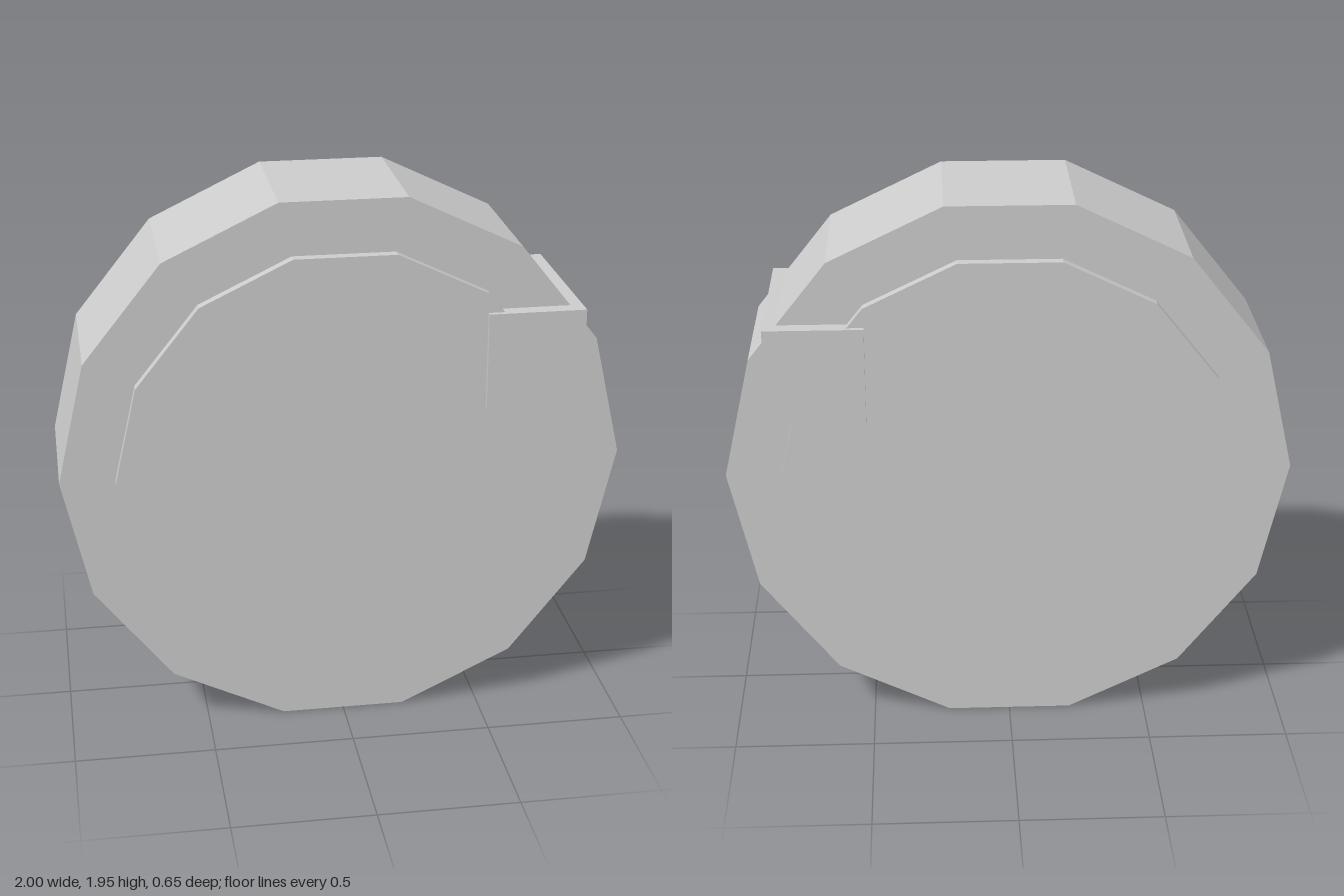
import * as THREE from 'three';

const SIDES = 14;
const CENTRE_Y = Math.sin((6 * Math.PI) / SIDES); // flat edge rests on the ground

export function createModel() {
  const model = new THREE.Group();
  model.name = 'wheel';
  const grey = new THREE.MeshStandardMaterial({ color: 0xcccccc, flatShading: true });
  grey.name = 'plain grey';

  const add = (name, geometry, x, y, z) => {
    const mesh = new THREE.Mesh(geometry, grey);
    mesh.name = name;
    mesh.position.set(x, y, z);
    model.add(mesh);
  };

  // Fourteen-sided disc with its axis along z and a corner on the x axis
  const disc = (radius, width) =>
    new THREE.CylinderGeometry(radius, radius, width, SIDES, 1, false, Math.PI / 2).rotateX(Math.PI / 2);

  // Wide outer rim, with a smaller disc standing proud on both faces
  add('rim', disc(1, 0.54), 0, CENTRE_Y, 0);
  add('innerDisc', disc(0.806, 0.616), 0, CENTRE_Y, 0);

  // Block clamped across the upper left of the rim
  add('clampBlock', new THREE.BoxGeometry(0.346, 0.346, 0.652), 0.672, 1.363, 0);

  return model;
}
